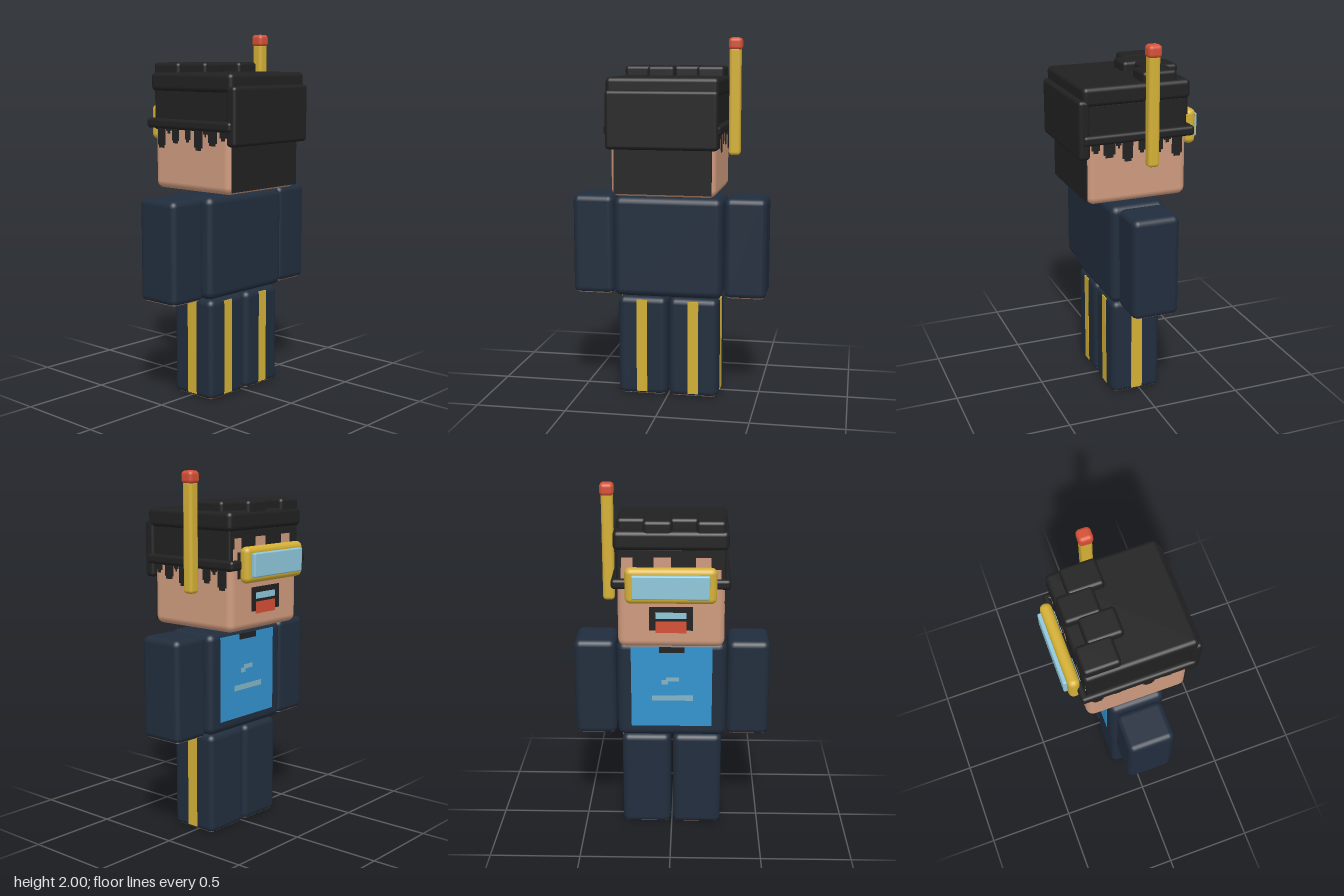
import * as THREE from 'three';
import { RoundedBoxGeometry } from 'three/addons/geometries/RoundedBoxGeometry.js';

const material = (name, color) => {
  const m = new THREE.MeshStandardMaterial({ color });
  m.name = name;
  return m;
};

export function createModel() {
  const model = new THREE.Group();
  model.name = 'blockFigure';

  const navy = material('navy cloth', 0x212d3d);
  const skin = material('skin', 0xcf9b7e);
  const hair = material('black hair', 0x212121);
  const yellow = material('yellow', 0xd4b036);
  const red = material('red', 0xd55036);
  const paleBlue = material('pale blue', 0x90c8dc);
  const blue = material('shirt blue', 0x3394d0);
  const greyBlue = material('grey blue', 0x86b4c6);

  const place = (name, geometry, mat, x, y, z) => {
    const mesh = new THREE.Mesh(geometry, mat);
    mesh.name = name;
    mesh.position.set((x[0] + x[1]) / 2, (y[0] + y[1]) / 2, (z[0] + z[1]) / 2);
    model.add(mesh);
    return mesh;
  };
  // Soft-edged block given by its extents
  const block = (name, x, y, z, r, mat) => place(name,
    new RoundedBoxGeometry(x[1] - x[0], y[1] - y[0], z[1] - z[0], 3, r), mat, x, y, z);
  // Thin painted plate given by its extents
  const plate = (name, x, y, z, mat) => place(name,
    new THREE.BoxGeometry(x[1] - x[0], y[1] - y[0], z[1] - z[0]), mat, x, y, z);
  // Sleeve or trouser leg with a bare underside
  const clothed = [navy, navy, navy, skin, navy, navy];

  // Torso and shirt panel (the face side is -z)
  block('torso', [-0.303, 0.303], [0.575, 1.135], [-0.135, 0.177], 0.04, navy);
  plate('shirtPanel', [-0.225, 0.225], [0.64, 1.11], [-0.138, -0.131], blue);
  plate('collar', [-0.07, 0.07], [1.08, 1.111], [-0.14, -0.133], hair);
  plate('shirtLine', [-0.12, 0.11], [0.795, 0.825], [-0.14, -0.133], greyBlue);
  plate('shirtDash', [-0.04, 0.03], [0.91, 0.935], [-0.14, -0.133], greyBlue);
  plate('shirtDashEnd', [0.02, 0.055], [0.892, 0.918], [-0.14, -0.133], greyBlue);

  // Arms and legs with stripes on the back and outer sides
  for (const [side, s] of [['left', 1], ['right', -1]]) {
    const span = (a, b) => (s > 0 ? [a, b] : [-b, -a]);
    block(side + 'Arm', span(0.312, 0.543), [0.575, 1.135], [-0.115, 0.147], 0.035, clothed);
    block(side + 'Leg', span(0.007, 0.282), [0.005, 0.57], [-0.12, 0.165], 0.035, clothed);
    plate(side + 'LegBackStripe', span(0.115, 0.175), [0.025, 0.555], [0.16, 0.167], yellow);
    plate(side + 'LegOuterStripe', span(0.277, 0.284), [0.025, 0.555], [-0.01, 0.055], yellow);

    // Hair strands hanging down the side of the head
    const strands = [[0.15, 0.214, 1.41], [0.05, 0.108, 1.38], [-0.02, 0.02, 1.42],
      [-0.12, -0.066, 1.41], [-0.23, -0.172, 1.38], [0.235, 0.28, 1.44],
      [0.115, 0.145, 1.455], [-0.165, -0.125, 1.46]];
    for (const [z0, z1, y0] of strands) {
      plate(side + 'Strand', span(0.281, 0.288), [y0 + 0.015, 1.5], [z0, z1], hair);
      plate(side + 'StrandTip', span(0.281, 0.288), [y0, y0 + 0.015], [z0 + 0.01, z1 - 0.01], hair);
    }

    // Eyes: dark rim with a pale centre
    plate(side + 'EyeRim', span(0.055, 0.23), [1.44, 1.58], [-0.264, -0.257], hair);
    plate(side + 'Eye', span(0.075, 0.205), [1.45, 1.55], [-0.267, -0.26], paleBlue);
    plate(side + 'Pupil', span(0.09, 0.125), [1.465, 1.55], [-0.269, -0.262], hair);
  }

  // Head
  block('head', [-0.285, 0.285], [1.155, 1.7], [-0.26, 0.3], 0.04, skin);

  // Mouth: dark arch, teeth and tongue
  plate('mouthArch', [-0.115, 0.115], [1.355, 1.385], [-0.265, -0.257], hair);
  for (const s of [-1, 1]) {
    plate('mouthSide', [s * 0.1 - 0.017, s * 0.1 + 0.017], [1.255, 1.365], [-0.265, -0.257], hair);
  }
  plate('teeth', [-0.083, 0.083], [1.32, 1.355], [-0.264, -0.257], paleBlue);
  plate('mouthGap', [-0.083, 0.083], [1.305, 1.32], [-0.264, -0.257], hair);
  plate('tongue', [-0.083, 0.083], [1.24, 1.305], [-0.264, -0.257], red);

  // Hair around the head, fringe and back
  block('hairShell', [-0.288, 0.288], [1.48, 1.702], [-0.255, 0.303], 0.012, hair);
  plate('fringe', [-0.27, 0.27], [1.655, 1.69], [-0.265, -0.257], hair);
  for (const [x0, x1, y0] of [[0.09, 0.2, 1.58], [-0.13, 0.0, 1.57], [-0.27, -0.21, 1.59], [0.26, 0.275, 1.6]]) {
    plate('fringeStrand', [x0, x1], [y0, 1.66], [-0.265, -0.257], hair);
  }
  plate('napeHair', [-0.265, 0.265], [1.17, 1.45], [0.298, 0.305], hair);
  block('backHair', [-0.303, 0.303], [1.412, 1.725], [0.29, 0.353], 0.02, hair);
  block('hairCap', [-0.303, 0.303], [1.69, 1.792], [-0.27, 0.328], 0.025, hair);
  for (const [x, z] of [[-0.208, -0.167], [-0.068, -0.102], [0.07, -0.167], [0.209, -0.102]]) {
    block('hairTuft', [x - 0.077, x + 0.077], [1.74, 1.845], [z - 0.097, z + 0.097], 0.02, hair);
  }

  // Goggles: strap built from four bars, frame and lens
  for (const s of [-1, 1]) {
    block('strapSide', [s * 0.295 - 0.02, s * 0.295 + 0.02], [1.488, 1.542], [-0.294, 0.33], 0.018, hair);
  }
  block('strapFront', [-0.315, 0.315], [1.488, 1.542], [-0.294, -0.255], 0.018, hair);
  block('strapBack', [-0.315, 0.315], [1.488, 1.542], [0.29, 0.33], 0.018, hair);
  block('goggleFrame', [-0.241, 0.241], [1.42, 1.612], [-0.336, -0.272], 0.03, yellow);
  block('goggleLens', [-0.204, 0.204], [1.452, 1.58], [-0.356, -0.325], 0.008, paleBlue);

  // Antenna beside the head
  block('antennaRod', [0.313, 0.377], [1.357, 1.95], [-0.065, -0.002], 0.018, yellow);
  block('antennaTip', [0.308, 0.384], [1.93, 2.0], [-0.073, 0.004], 0.022, red);

  return model;
}
